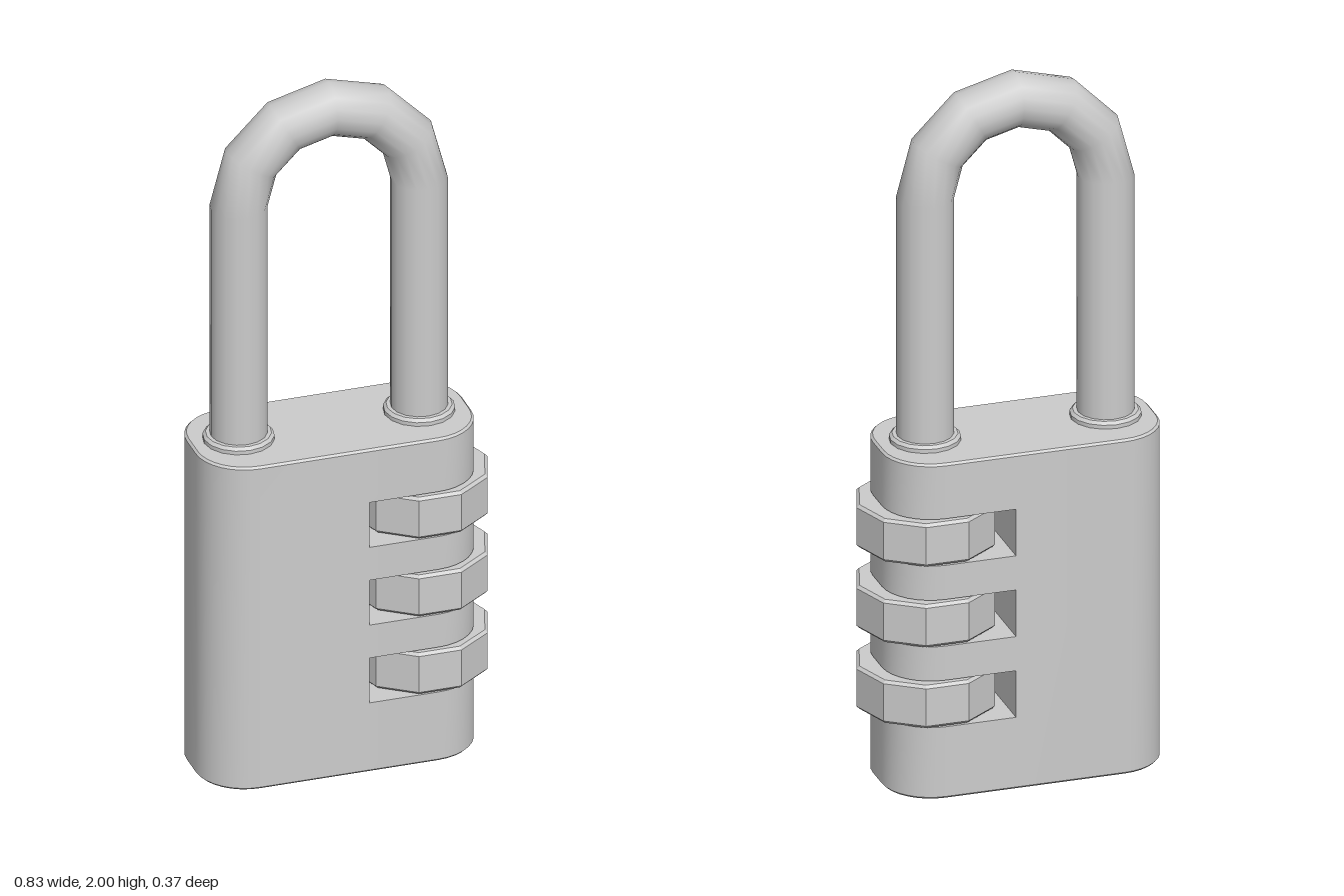
import * as THREE from 'three';
import { toCreasedNormals } from 'three/addons/utils/BufferGeometryUtils.js';

const X0 = -0.415, X1 = 0.355, DEPTH = 0.173, CORNER = 0.135, TOP = 0.97;
const SLOT_X = 0.025, SLOT_H = 0.135, SLOTS = [0.208, 0.442, 0.676];
const WHEEL_X = 0.22, WHEEL_R = 0.193;
const LEGS = [-0.283, 0.222], ROD = 0.077, ARCH_Y = 1.67;

const grey = new THREE.MeshStandardMaterial({ color: 0xcccccc });
const facetedGrey = new THREE.MeshStandardMaterial({ color: 0xcccccc, flatShading: true });

function add(group, name, geometry, material, x = 0, y = 0) {
  const mesh = new THREE.Mesh(geometry, material);
  mesh.name = name;
  mesh.position.set(x, y, 0);
  group.add(mesh);
  return mesh;
}

// Half of the body's plan outline as [x, z]; side -1 runs front to back, +1 back to front
function halfOutline(side, inset = 0) {
  const points = [[SLOT_X, -side * (DEPTH - inset)]];
  const cx = side < 0 ? X0 + CORNER : X1 - CORNER;
  const r = CORNER - inset, steps = 8;
  for (const first of [true, false]) {
    const z = (first ? -side : side) * (DEPTH - CORNER);
    for (let i = 0; i <= steps; i++) {
      const a = (i / steps + (first ? 0 : 1)) * Math.PI / 2;
      points.push([cx + side * r * Math.sin(a), z - side * r * Math.cos(a)]);
    }
  }
  points.push([SLOT_X, side * (DEPTH - inset)]);
  return points;
}

// Body: rounded slab with three slots cut through its right side
function bodyGeometry() {
  const positions = [];
  const tri = (...corners) => corners.forEach(c => positions.push(...c));
  const wall = (low, y0, high, y1) => {
    for (let i = 0; i < low.length - 1; i++) {
      const at = (p, y) => [p[0], y, p[1]];
      const a = at(low[i], y0), b = at(low[i + 1], y0);
      const c = at(high[i], y1), d = at(high[i + 1], y1);
      tri(a, c, b);
      tri(b, c, d);
    }
  };
  const cap = (loop, y, up) => {
    for (let i = 1; i < loop.length - 1; i++) {
      const [a, b, c] = [loop[0], loop[i], loop[i + 1]].map(p => [p[0], y, p[1]]);
      if (up) tri(a, c, b); else tri(a, b, c);
    }
  };
  const bevel = 0.006;
  const left = halfOutline(-1), right = halfOutline(1);
  const leftIn = halfOutline(-1, bevel), rightIn = halfOutline(1, bevel);

  // Bevelled rims and end caps
  for (const [outer, inner] of [[left, leftIn], [right, rightIn]]) {
    wall(inner, 0, outer, bevel);
    wall(outer, TOP - bevel, inner, TOP);
  }
  const loop = [...leftIn, ...rightIn.slice(1, -1)];
  cap(loop, 0, false);
  cap(loop, TOP, true);

  // Plain left wall, then right wall interrupted by the slots
  wall(left, bevel, left, TOP - bevel);
  let y = bevel;
  const back = [[SLOT_X, -DEPTH], [SLOT_X, DEPTH]];
  for (const y0 of SLOTS) {
    const y1 = y0 + SLOT_H;
    wall(right, y, right, y0);
    cap(right, y0, true);
    cap(right, y1, false);
    wall(back, y0, back, y1);
    y = y1;
  }
  wall(right, y, right, TOP - bevel);

  const geometry = new THREE.BufferGeometry();
  geometry.setAttribute('position', new THREE.Float32BufferAttribute(positions, 3));
  return toCreasedNormals(geometry, 0.5);
}

const profile = pairs => pairs.map(([r, y]) => new THREE.Vector2(r, y));

export function createModel() {
  const model = new THREE.Group();
  model.name = 'combinationPadlock';
  add(model, 'body', bodyGeometry(), grey);

  // Ten-sided number wheels with a small bevel
  const h = 0.062, b = 0.008;
  const wheel = new THREE.LatheGeometry(profile([
    [0, -h], [WHEEL_R - b, -h], [WHEEL_R, b - h], [WHEEL_R, h - b], [WHEEL_R - b, h], [0, h],
  ]), 10, Math.PI / 2);
  SLOTS.forEach((y, i) => add(model, 'numberWheel' + (i + 1), wheel, facetedGrey, WHEEL_X, y + SLOT_H / 2));

  // Shackle: two legs joined by a half-ring, with a collar around each leg
  const shackle = new THREE.Group();
  shackle.name = 'shackle';
  model.add(shackle);
  const legHeight = ARCH_Y - TOP;
  const leg = new THREE.CylinderGeometry(ROD, ROD, legHeight, 16, 1, true);
  const collar = toCreasedNormals(new THREE.LatheGeometry(profile([
    [0.096, 0], [0.096, 0.011], [0.088, 0.019], [ROD - 0.002, 0.019],
  ]), 16).toNonIndexed(), 0.5);
  LEGS.forEach((x, i) => {
    const side = i ? 'left' : 'right';
    add(shackle, side + 'Leg', leg, grey, x, TOP + legHeight / 2);
    add(model, side + 'Collar', collar, grey, x, TOP);
  });
  const span = LEGS[1] - LEGS[0];
  add(shackle, 'arch', new THREE.TorusGeometry(span / 2, ROD, 16, 6, Math.PI), grey,
    (LEGS[0] + LEGS[1]) / 2, ARCH_Y);
  return model;
}
